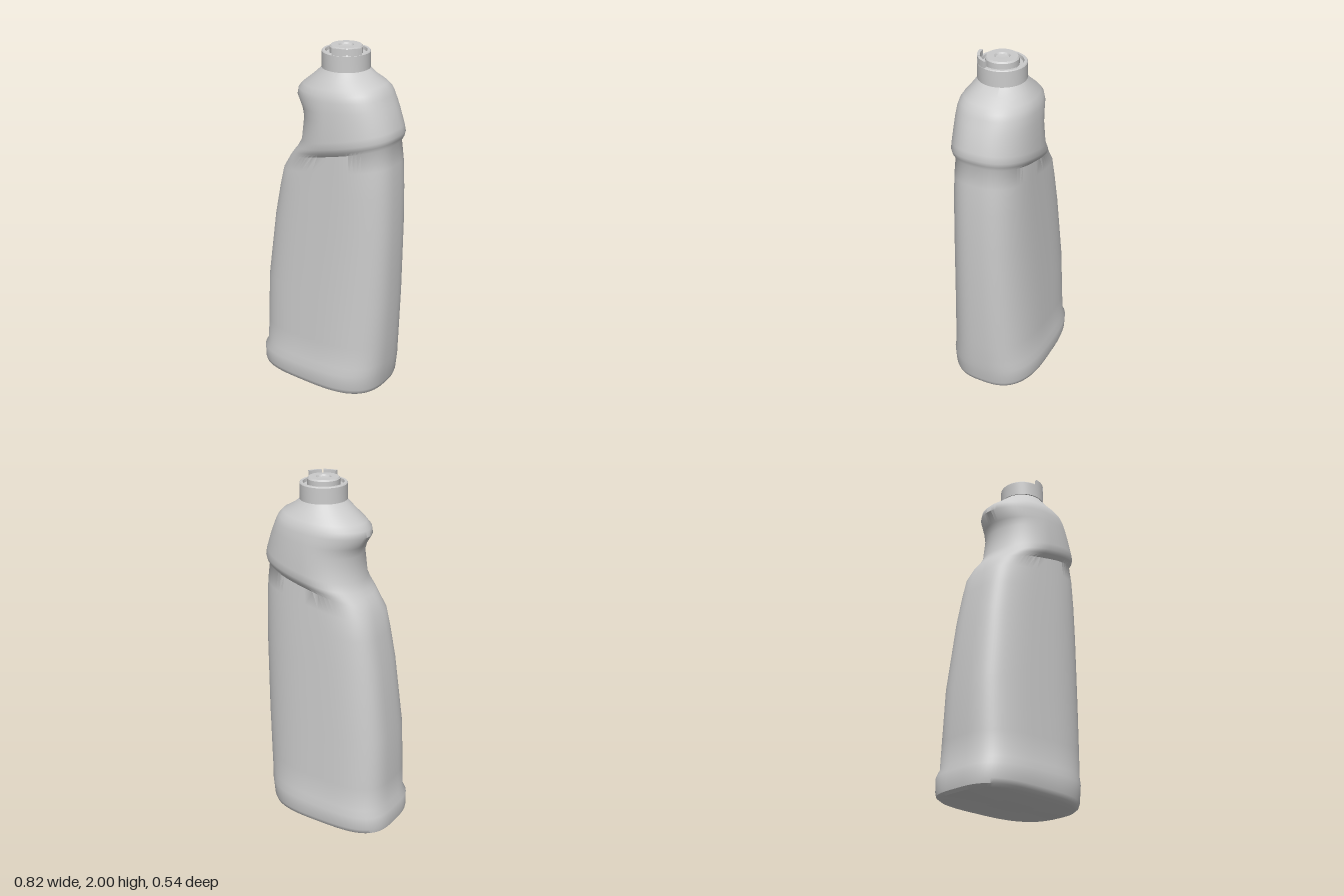
import * as THREE from 'three';
import { toCreasedNormals } from 'three/addons/utils/BufferGeometryUtils.js';

const AXIS_X = 0.075; // neck and cap axis
const { smoothstep, degToRad } = THREE.MathUtils;

// Sections of the body: [y at -x end, y at +x end, min x, max x, half depth]
const BASE = [
  [0.005, 0.005, -0.395, 0.345, 0.240],
  [0.020, 0.020, -0.412, 0.362, 0.258],
  [0.045, 0.045, -0.415, 0.370, 0.265],
  [0.120, 0.145, -0.412, 0.380, 0.269],
  [0.160, 0.190, -0.393, 0.385, 0.256],
];
const SIDES = [
  [0.30, 0.33, -0.389, 0.392, 0.249],
  [0.60, 0.60, -0.380, 0.404, 0.235],
  [1.00, 1.02, -0.330, 0.410, 0.215],
  [1.17, 1.24, -0.298, 0.406, 0.206],
  [1.28, 1.40, -0.273, 0.398, 0.199],
  [1.355, 1.51, -0.236, 0.387, 0.195],
];
const SHOULDER = [
  [1.385, 1.535, -0.214, 0.400, 0.213],
  [1.415, 1.560, -0.192, 0.406, 0.223],
  [1.460, 1.595, -0.169, 0.399, 0.223],
  [1.600, 1.675, -0.151, 0.371, 0.215],
  [1.650, 1.710, -0.166, 0.356, 0.212],
  [1.710, 1.755, -0.204, 0.336, 0.206],
  [1.745, 1.785, -0.199, 0.322, 0.198],
  [1.775, 1.810, -0.170, 0.300, 0.183],
  [1.825, 1.840, -0.108, 0.245, 0.153],
  [1.880, 1.880, -0.045, 0.195, 0.120],
];

// Point on a section's outline: boxy at the base, egg-shaped at the shoulder, round at the neck
function outlinePoint([yL, yR, xL, xR, depth], t) {
  const c = Math.cos(t), s = Math.sin(t);
  const shoulder = smoothstep(yL, 1.26, 1.46);
  const xMid = -0.02 + 0.1 * smoothstep(yL, 0.6, 1.46);
  const n = c < 0
    ? 3.4 - 1.4 * shoulder
    : 2.8 - 0.4 * shoulder - 0.4 * smoothstep(yL, 1.7, 1.83);
  const reach = (c < 0 ? xL : xR) - xMid;
  const x = xMid + reach * Math.pow(Math.abs(c), 2 / n);
  const z = Math.sign(s) * depth * Math.pow(Math.abs(s), 2 / n);
  // Depth exponent is blended out near the widest point, so both halves meet there
  return [x, yL + (yR - yL) * (x - xL) / (xR - xL), z];
}

// Loft through the sections, closed at the base and under the cap
function createBodyGeometry() {
  const sections = [...BASE, ...SIDES, ...SHOULDER];
  const seg = 72, pos = [], index = [];
  for (const section of sections)
    for (let j = 0; j < seg; j++) pos.push(...outlinePoint(section, (j / seg) * Math.PI * 2));
  const base = pos.length / 3;
  const top = base - seg;
  pos.push(0, 0, 0, AXIS_X, 1.88, 0);
  for (let j = 0; j < seg; j++) {
    const k = (j + 1) % seg;
    for (let row = 0; row < top; row += seg) {
      const a = row + j, b = row + k;
      index.push(a, a + seg, b, b, a + seg, b + seg);
    }
    index.push(base, j, k, base + 1, top + k, top + j);
  }
  const geo = new THREE.BufferGeometry();
  geo.setAttribute('position', new THREE.Float32BufferAttribute(pos, 3));
  geo.setIndex(index);
  return toCreasedNormals(geo, 0.7);
}

function lathe(points) {
  const geo = new THREE.LatheGeometry(points.map(([r, y]) => new THREE.Vector2(r, y)), 48);
  return toCreasedNormals(geo, 0.5);
}

// Raised block following the cap rim
function rimBlock(inner, outer, from, to, height) {
  const shape = new THREE.Shape();
  shape.absarc(0, 0, outer, from, to, false);
  shape.absarc(0, 0, inner, to, from, true);
  const geo = new THREE.ExtrudeGeometry(shape, { depth: height, bevelEnabled: false, curveSegments: 8 });
  return geo.rotateX(-Math.PI / 2);
}

export function createModel() {
  const model = new THREE.Group();
  model.name = 'bottle';
  const material = new THREE.MeshStandardMaterial({ color: 0xcccccc });
  const add = (name, geo, parent) => {
    const mesh = new THREE.Mesh(geo, material);
    mesh.name = name;
    parent.add(mesh);
    return mesh;
  };

  add('body', createBodyGeometry(), model);

  const cap = new THREE.Group();
  cap.name = 'cap';
  cap.position.x = AXIS_X;
  model.add(cap);

  // Collar with a sunken groove around the spout
  add('collar', lathe([
    [0, 1.877], [0.128, 1.877], [0.128, 1.962], [0.124, 1.967],
    [0.110, 1.967], [0.107, 1.950], [0.080, 1.950],
  ]), cap);

  // Spout disc with a dimple
  add('spout', lathe([
    [0.087, 1.950], [0.087, 1.985], [0.080, 1.993],
    [0.040, 1.993], [0.034, 1.984], [0, 1.980],
  ]), cap);

  // Hinge blocks on the front left of the rim
  for (const start of [-92, -52]) {
    const block = rimBlock(0.112, 0.127, degToRad(start), degToRad(start + 35), 0.04);
    add('hingeBlock', block, cap).position.y = 1.96;
  }
  return model;
}
